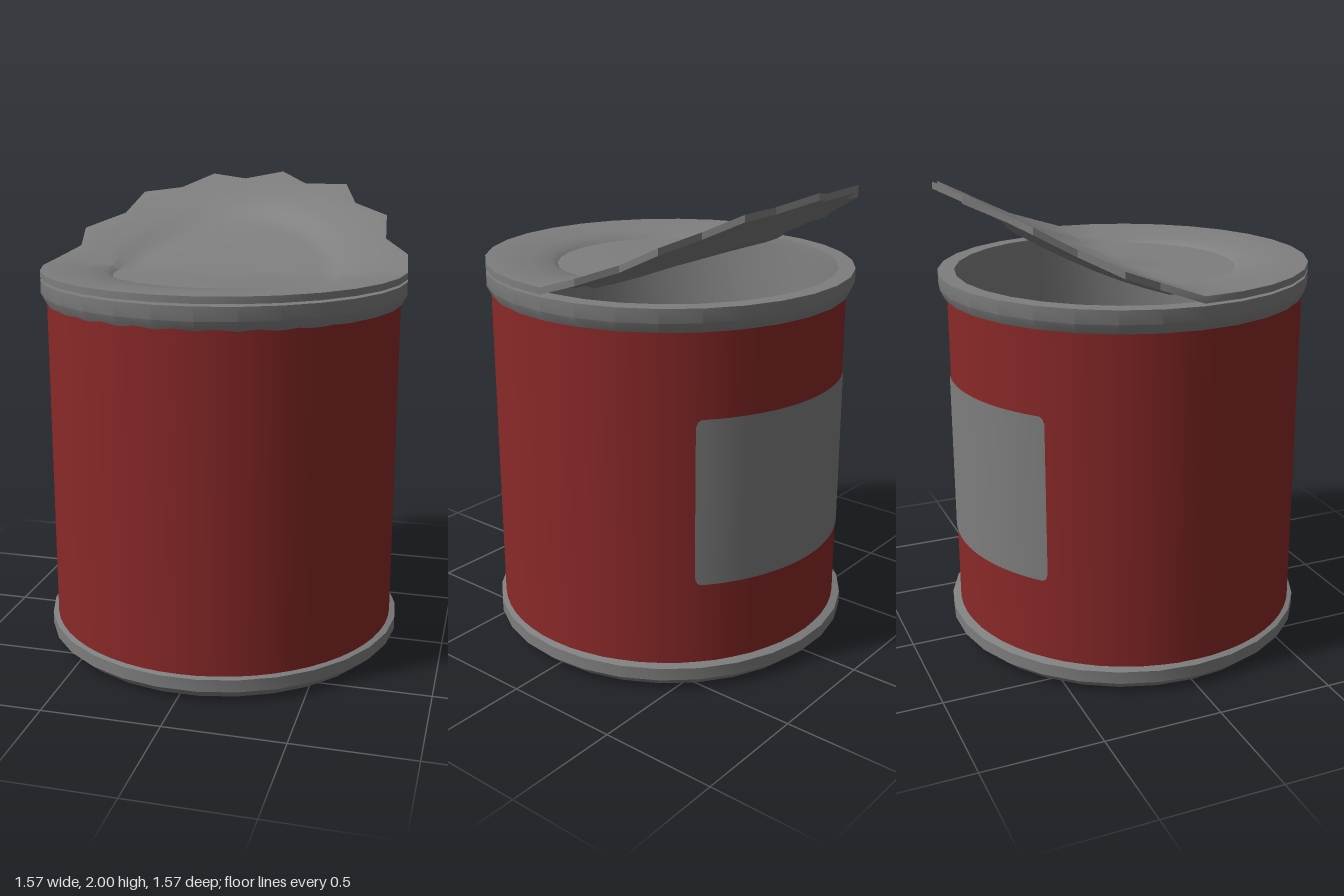
import * as THREE from 'three';
import { toCreasedNormals } from 'three/addons/utils/BufferGeometryUtils.js';

const SIDES = 30;

export function createModel() {
  const group = new THREE.Group();
  const red = new THREE.MeshStandardMaterial({ color: 0x8a2828 });
  red.name = 'labelRed';
  const grey = new THREE.MeshStandardMaterial({ color: 0x7e7e7e });
  grey.name = 'tinGrey';

  const add = (name, geometry, material) => {
    const mesh = new THREE.Mesh(geometry, material);
    mesh.name = name;
    group.add(mesh);
    return mesh;
  };
  const lathe = (points) => toCreasedNormals(new THREE.LatheGeometry(
    points.map(([r, y]) => new THREE.Vector2(r, y)), SIDES, Math.PI / 2), 0.5);

  // Painted wall
  const wallRadius = 0.757, wallZ = 0.008;
  const wall = add('wall', new THREE.CylinderGeometry(wallRadius, wallRadius, 1.42, 60, 1, true), red);
  wall.position.set(0, 0.815, wallZ);

  // Base with its rolled rim
  add('base', lathe([[0, 0], [0.735, 0], [0.785, 0.045], [0.785, 0.098], [0.745, 0.11]]), grey);

  // Top rim, running on into the inner wall and floor
  add('topRimAndInside', lathe([
    [0.745, 1.515], [0.765, 1.515], [0.785, 1.555], [0.785, 1.612],
    [0.715, 1.612], [0.71, 1.58], [0.71, 0.06], [0, 0.06],
  ]), grey);

  add('backPatch', patchGeometry(wallRadius + 0.004, 0.46, 1.165, 0.75, 0.03), grey)
    .position.z = wallZ;
  add('lid', lidGeometry(), grey);
  return group;
}

// Curved plate with rounded corners, wrapped round the back of the can
function patchGeometry(radius, y0, y1, halfAngle, corner) {
  const width = 2 * halfAngle * radius, height = y1 - y0;
  const geo = new THREE.PlaneGeometry(width, height, 120, 1);
  const pos = geo.attributes.position;
  for (let i = 0; i < pos.count; i++) {
    const x = pos.getX(i);
    const inset = Math.max(0, corner - (width / 2 - Math.abs(x)));
    const half = height / 2 - corner + Math.sqrt(Math.max(0, corner * corner - inset * inset));
    const angle = x / radius;
    pos.setXYZ(i, -Math.sin(angle) * radius,
      (y0 + y1) / 2 + Math.sign(pos.getY(i)) * half, -Math.cos(angle) * radius);
  }
  geo.computeVertexNormals();
  return geo;
}

// Lid: front half flat, back half bent up with a torn edge
function lidGeometry() {
  // Torn edge, x and z, from the left end round the back to the right end
  const torn = [
    [-0.785, 0], [-0.71, -0.15], [-0.745, -0.305], [-0.59, -0.43], [-0.545, -0.585],
    [-0.37, -0.63], [-0.245, -0.76], [-0.08, -0.72], [0.09, -0.79], [0.22, -0.685],
    [0.415, -0.685], [0.48, -0.54], [0.635, -0.46], [0.655, -0.29], [0.765, -0.165],
  ];
  // Rings of radius and height; 'edge' follows the outline
  const top = [
    [0, -0.03], [0.2, -0.03], [0.4, -0.032], [0.48, -0.034], [0.51, -0.014],
    [0.6, -0.012], [0.64, 0], ['edge', 0],
  ];
  const under = top.map(([r, y]) => [r, y - 0.028]).reverse();
  const rings = [...top, ...under];
  const lift = (z) => {
    const d = Math.max(0, -z);
    return 0.443 * d - 0.025 * Math.sin(Math.PI * Math.min(1, d / 0.6));
  };

  const positions = [], index = [];
  for (const [r, y] of rings) {
    for (let i = 0; i < SIDES; i++) {
      const a = (i / SIDES) * Math.PI * 2;
      const radius = r === 'edge' ? 0.785 : r;
      let x = Math.cos(a) * radius, z = Math.sin(a) * radius;
      if (r === 'edge' && i >= SIDES / 2) [x, z] = torn[i - SIDES / 2];
      positions.push(x, 1.65 + y + lift(z), z);
    }
  }
  for (let k = 0; k < rings.length - 1; k++) {
    for (let i = 0; i < SIDES; i++) {
      const j = (i + 1) % SIDES;
      const a = k * SIDES + i, b = k * SIDES + j;
      const c = a + SIDES, d = b + SIDES;
      index.push(a, d, c, a, b, d);
    }
  }
  const geo = new THREE.BufferGeometry();
  geo.setAttribute('position', new THREE.Float32BufferAttribute(positions, 3));
  geo.setIndex(index);
  geo.computeVertexNormals();
  return toCreasedNormals(geo, 0.6);
}
